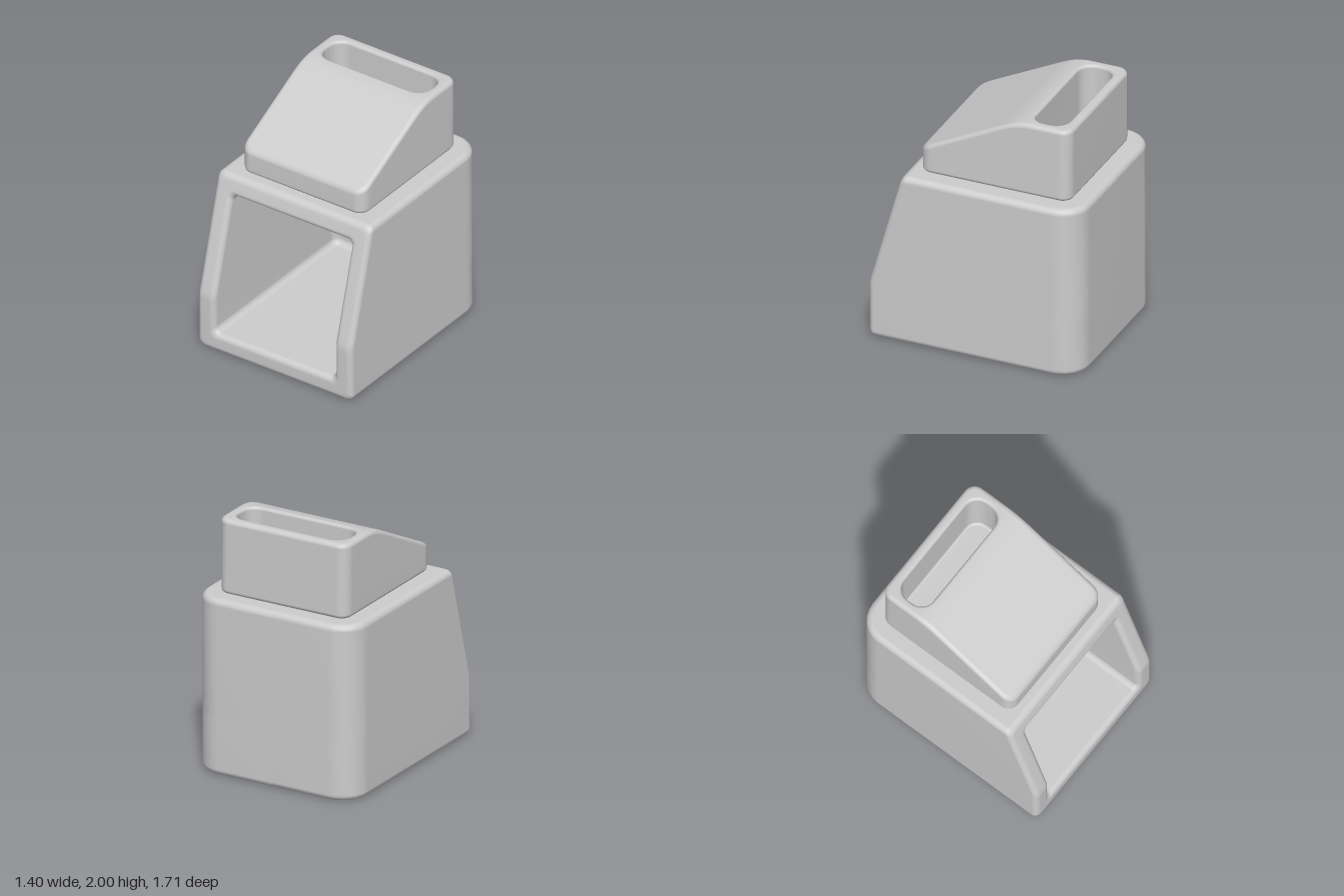
import * as THREE from 'three';

// Rounded rectangle, counter-clockwise; vs are extra points along the two upright sides.
function ring(hx, v0, v1, r, vs) {
  const pts = [];
  const corner = (cx, cv, start) => {
    for (let k = 0; k <= 6; k++) {
      const a = start + (k / 6) * Math.PI / 2;
      pts.push([cx + r * Math.cos(a), cv + r * Math.sin(a)]);
    }
  };
  corner(hx - r, v0 + r, -Math.PI / 2);
  vs.forEach((v) => pts.push([hx, v]));
  corner(hx - r, v1 - r, 0);
  corner(-hx + r, v1 - r, Math.PI / 2);
  [...vs].reverse().forEach((v) => pts.push([-hx, v]));
  corner(-hx + r, v0 + r, Math.PI);
  return pts;
}

// Skin through successive closed loops of [x, y, z] points.
function loft(loops) {
  const n = loops[0].length;
  const index = [];
  for (let j = 0; j < loops.length - 1; j++) {
    for (let i = 0; i < n; i++) {
      const a = j * n + i, b = j * n + (i + 1) % n;
      index.push(a, b, b + n, a, b + n, a + n);
    }
  }
  const g = new THREE.BufferGeometry();
  g.setAttribute('position', new THREE.Float32BufferAttribute(loops.flat(2), 3));
  g.setIndex(index);
  g.computeVertexNormals();
  return g;
}

const QUARTER = [0, 1, 2, 3, 4, 5, 6].map((k) => (k / 6) * Math.PI / 2);

// Hollow cabinet: back, sides, sloping front rim and cavity in one skin.
function cabinetGeometry() {
  const W = 0.7, H = 1.405, edge = 0.05, wall = 0.155, r = 0.045;
  const frontZ = (y) => 0.855 - Math.max(0, y - 0.46) * 0.277;
  const rect = (inset) => ring(W - inset, inset, H - inset, edge, [0.42, 0.46, 0.5]);
  // Loops from the middle of the back round the upright back corners
  const back = (inset, R, zBack) => {
    const hx = W - inset;
    const at = (a, flat) => rect(inset).map(([x, y]) => {
      const d = Math.min(edge, hx - Math.abs(x));
      const px = flat ? 0 : Math.sign(x) * (hx - R + (R - d) * Math.sin(a));
      return [px, y, zBack + R - (R - d) * Math.cos(a)];
    });
    return [at(0, true), ...QUARTER.map((a) => at(a, false))];
  };
  const front = (inset, depth) => rect(inset).map(([x, y]) => [x, y, frontZ(y) - depth]);
  const outerRim = QUARTER.map((a) => front(r * (1 - Math.cos(a)), r * (1 - Math.sin(a))));
  const innerRim = QUARTER.map((a) => front(wall - r * (1 - Math.sin(a)), r * (1 - Math.cos(a))));
  return loft([
    ...back(0, 0.22, -0.855),
    ...outerRim,
    ...innerRim,
    ...back(wall, 0.065, -0.7).reverse(),
  ]);
}

// Wedge-shaped hopper with a slot sunk into its top.
function hopperGeometry() {
  const W = 0.56, v0 = -0.505, v1 = 0.72, R = 0.09, r = 0.035, base = 1.403, floor = 1.5;
  const topY = (z) => {
    if (z > -0.18) return 1.855 - 0.5 * z;
    if (z < -0.4) return 2;
    return 2 - (0.25 / 0.22) * (z + 0.4) ** 2;
  };
  const spread = (a, b) => Array.from({ length: 15 }, (_, i) => a + (b - a) * (i + 1) / 16);
  const outer = (i) => ring(W - i, v0 + i, v1 - i, R - i, spread(v0 + R, v1 - R));
  const slot = (i) => ring(0.48 - i, 0.37 + i, 0.64 - i, 0.11 - i, spread(0.48, 0.53));
  const level = (pts, y) => pts.map(([x, v]) => [x, y, -v]);
  const onTop = (pts, depth) => pts.map(([x, v]) => [x, topY(-v) - depth, -v]);
  const point = (pts, y, z) => pts.map(() => [0, y, z]);
  const rim = 0.025;
  const from = outer(r), to = slot(-rim);
  const loops = [point(from, base, -0.1)];
  QUARTER.forEach((a) => loops.push(level(outer(r * (1 - Math.sin(a))), base + r * (1 - Math.cos(a)))));
  QUARTER.forEach((a) => loops.push(onTop(outer(r * (1 - Math.cos(a))), r * (1 - Math.sin(a)))));
  // Top surface, following the slope towards the slot
  for (let k = 1; k < 24; k++) {
    loops.push(onTop(from.map(([x, v], i) => [
      x + (to[i][0] - x) * k / 24, v + (to[i][1] - v) * k / 24]), 0));
  }
  QUARTER.forEach((a) => loops.push(onTop(slot(-rim * (1 - Math.sin(a))), rim * (1 - Math.cos(a)))));
  QUARTER.forEach((a) => loops.push(level(slot(0.02 * (1 - Math.cos(a))), floor + 0.02 * (1 - Math.sin(a)))));
  loops.push(point(from, floor, -0.505));
  return loft(loops);
}

export function createModel() {
  const grey = new THREE.MeshStandardMaterial({ color: 0xcccccc });
  grey.name = 'light grey';
  const group = new THREE.Group();
  group.name = 'dispenser';
  const add = (name, geometry) => {
    const mesh = new THREE.Mesh(geometry, grey);
    mesh.name = name;
    group.add(mesh);
  };
  add('cabinet', cabinetGeometry());
  add('hopper', hopperGeometry());
  return group;
}
